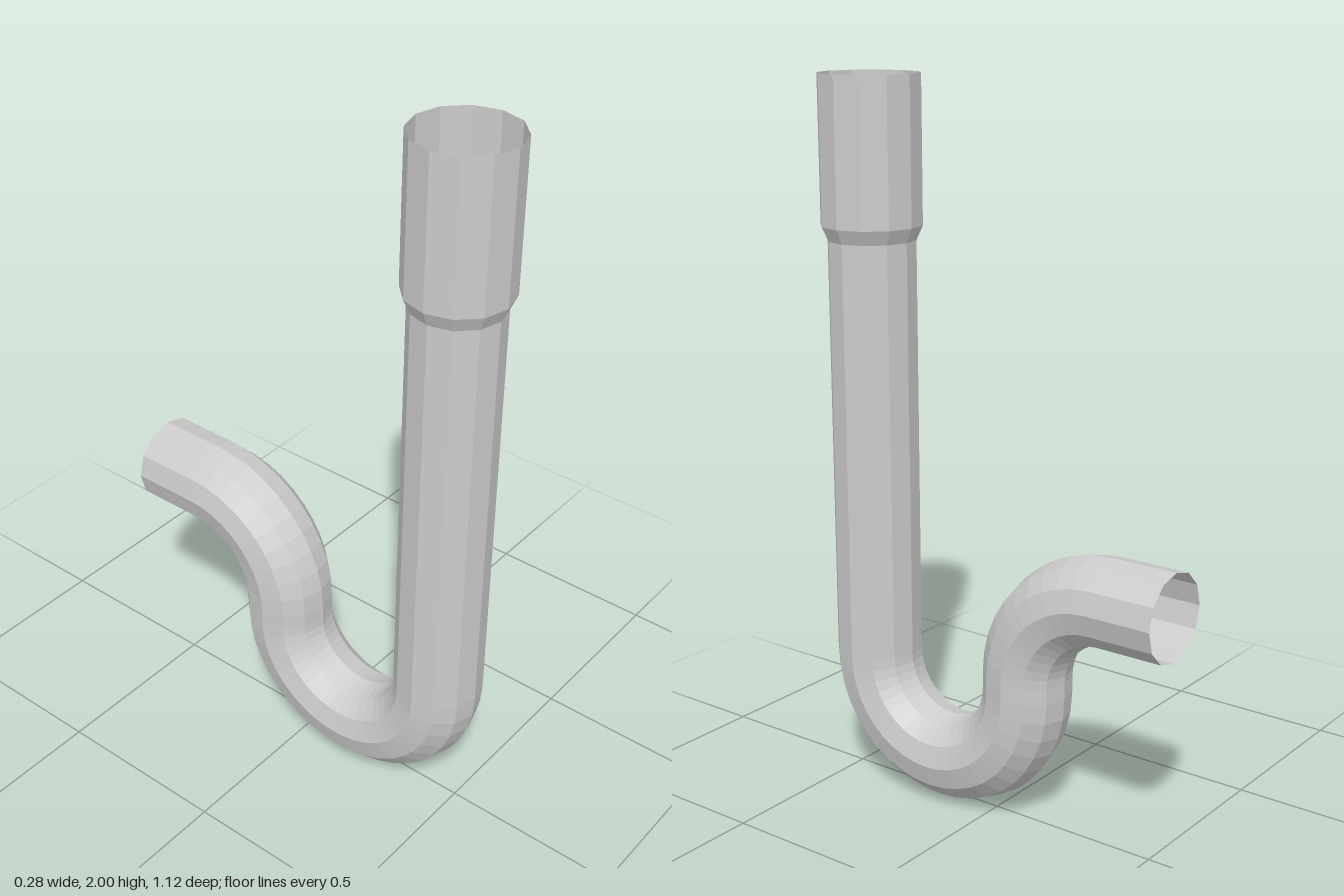
import * as THREE from 'three';

const SIDES = 12;
const PIPE_R = 0.122, COLLAR_R = 0.14, BEND_R = 0.263;
const LEG_Z = 0.423;

// A ring station: centre (y, z), travel direction (ty, tz), radius
const station = (y, z, ty, tz, r = PIPE_R) => ({ y, z, ty, tz, r });

// Skins a row of stations with an open, faceted tube
function sweep(name, stations, material) {
  const pos = [], index = [];
  stations.forEach(({ y, z, ty, tz, r }, i) => {
    for (let j = 0; j < SIDES; j++) {
      const a = (j / SIDES) * Math.PI * 2;
      const s = r * Math.sin(a);
      pos.push(r * Math.cos(a), y + s * tz, z - s * ty);
      if (i === 0) continue;
      const k = (j + 1) % SIDES, p = (i - 1) * SIDES, q = i * SIDES;
      index.push(p + j, p + k, q + k, p + j, q + k, q + j);
    }
  });
  const geometry = new THREE.BufferGeometry();
  geometry.setAttribute('position', new THREE.Float32BufferAttribute(pos, 3));
  geometry.setIndex(index);
  geometry.computeVertexNormals();
  const mesh = new THREE.Mesh(geometry, material);
  mesh.name = name;
  return mesh;
}

// Stations along an arc in the yz plane; dir -1 dips down, +1 rises
function arc(cy, cz, dir, sweepAngle, steps) {
  return Array.from({ length: steps + 1 }, (_, i) => {
    const t = (i / steps) * sweepAngle, c = Math.cos(t), s = Math.sin(t);
    return station(cy + dir * BEND_R * s, cz + BEND_R * c, dir * c, -s);
  });
}

export function createModel() {
  const group = new THREE.Group();
  group.name = 'drainTrapPipe';
  const material = new THREE.MeshStandardMaterial({
    color: 0xcccccc, flatShading: true, side: THREE.DoubleSide,
  });

  // Wider socket with a short taper down to the pipe
  group.add(sweep('socketCollar', [
    station(2, LEG_Z, -1, 0, COLLAR_R),
    station(1.6, LEG_Z, -1, 0, COLLAR_R),
    station(1.56, LEG_Z, -1, 0),
  ], material));

  const uBend = arc(0.385, 0.16, -1, Math.PI, 20);
  const elbow = arc(0.43, -0.366, 1, Math.PI / 2, 10);

  // Long inlet leg
  group.add(sweep('inletPipe', [station(1.56, LEG_Z, -1, 0), uBend[0]], material));
  // U-shaped trap
  group.add(sweep('trapBend', uBend, material));
  // Short riser and quarter bend
  group.add(sweep('outletElbow', [uBend[20], ...elbow], material));
  // Horizontal outlet
  group.add(sweep('outletPipe', [elbow[10], station(0.693, -0.558, 0, -1)], material));

  return group;
}
